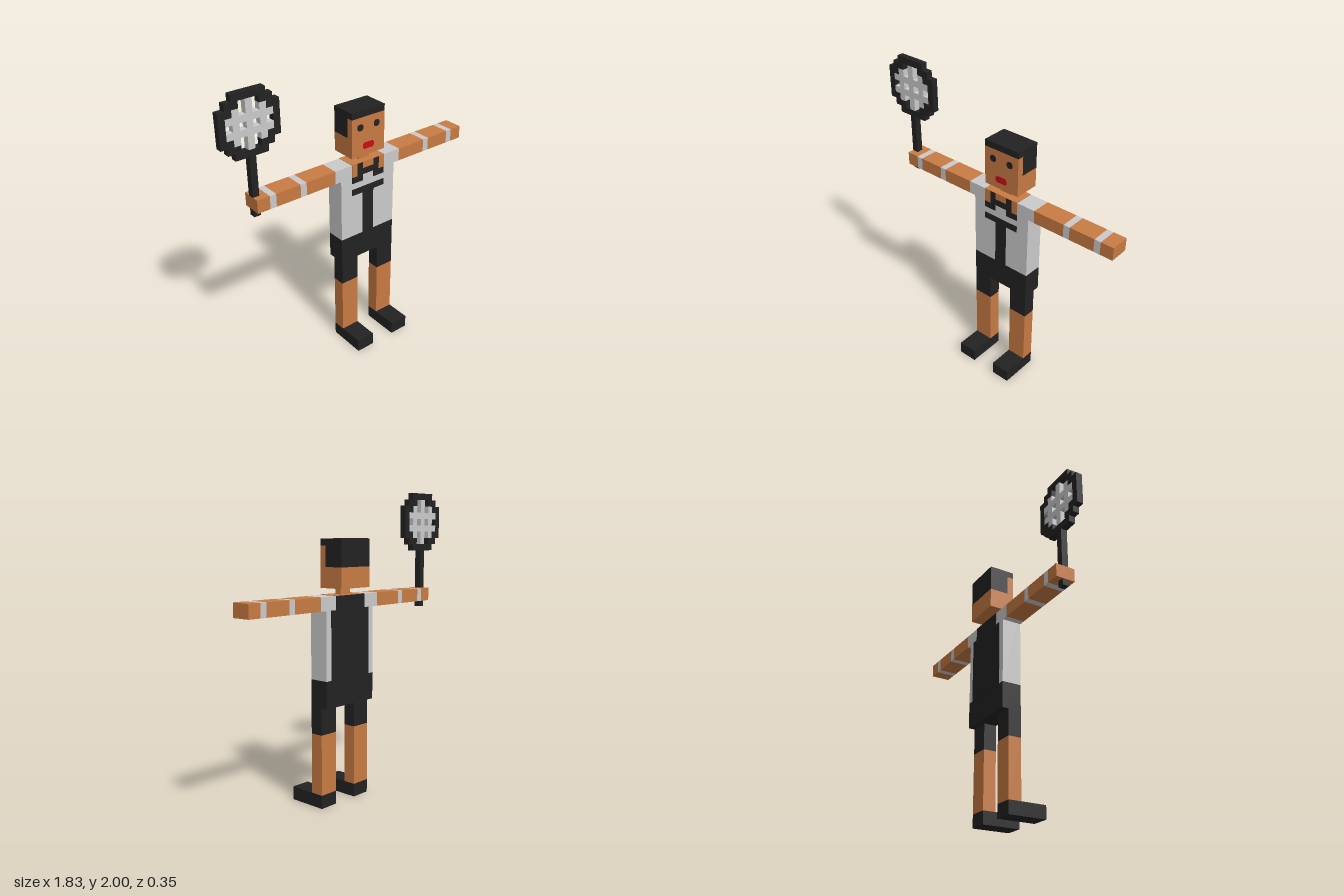
import * as THREE from 'three';
import { mergeGeometries } from 'three/addons/utils/BufferGeometryUtils.js';

const U = 2 / 46; // one block

const flat = (name, color) => {
  const m = new THREE.MeshStandardMaterial({ color });
  m.name = name;
  return m;
};

// Box between two corners, measured in blocks
function block(x0, x1, y0, y1, z0, z1) {
  const g = new THREE.BoxGeometry((x1 - x0) * U, (y1 - y0) * U, (z1 - z0) * U);
  g.translate((x0 + x1) / 2 * U, (y0 + y1) / 2 * U, (z0 + z1) / 2 * U);
  return g;
}

// Thin plate on a front face, with cut corners
function badge(x0, x1, y0, y1, c) {
  const s = new THREE.Shape([
    [x0 + c, y0], [x1 - c, y0], [x1, y0 + c], [x1, y1 - c],
    [x1 - c, y1], [x0 + c, y1], [x0, y1 - c], [x0, y0 + c],
  ].map(([x, y]) => new THREE.Vector2(x * U, y * U)));
  return new THREE.ExtrudeGeometry(s, { depth: 0.003, bevelEnabled: false });
}

export function createModel() {
  const skin = flat('skin', 0xc87b43);
  const light = flat('light cloth', 0xcbcbcb);
  const dark = flat('dark cloth', 0x222222);
  const red = flat('lip red', 0xc80f14);

  const root = new THREE.Group();
  root.name = 'racketPlayer';
  const group = (name) => {
    const g = new THREE.Group();
    g.name = name;
    root.add(g);
    return g;
  };
  const add = (parent, name, material, ...geos) => {
    const mesh = new THREE.Mesh(geos.length > 1 ? mergeGeometries(geos) : geos[0], material);
    mesh.name = name;
    parent.add(mesh);
  };

  // Legs and shoes
  for (const [side, x] of [['right', -3], ['left', 4]]) {
    const leg = group(side + 'Leg');
    add(leg, 'shoe', dark, block(x, x + 3, 0, 2, -2, 4));
    add(leg, 'shin', skin, block(x, x + 3, 2, 11, -2, 0));
    add(leg, 'shortsLeg', dark, block(x, x + 3, 11, 15, -2, 0));
  }

  // Torso with painted shirt front and dark back
  const t = 0.06; // plate thickness in blocks
  const torso = group('torso');
  add(torso, 'shorts', dark, block(-3, 7, 15, 19, -3, 0));
  add(torso, 'shirt', light, block(-3, 7, 19, 31, -3, 0));
  add(torso, 'backPanel', dark,
    block(-2, 6, 19, 29, -3 - t, -3), block(-1, 5, 29, 31, -3 - t, -3));
  add(torso, 'necklineSkin', skin,
    block(-1, 0, 29, 31, 0, t), block(4, 5, 29, 31, 0, t),
    block(1, 3, 30, 31, 0, t), block(-1, 5, 31, 31 + t, -3, t));
  add(torso, 'collarTrim', dark,
    block(0, 1, 30, 31, 0, t), block(3, 4, 30, 31, 0, t),
    block(0, 4, 29, 30, 0, t),
    block(-1, 1, 28, 29, 0, t), block(3, 5, 28, 29, 0, t));
  add(torso, 'chestTrim', dark,
    block(-1, 5, 26, 27, 0, t), block(1, 3, 19, 26, 0, t));

  // Arms, as bands along x from shoulder to hand
  const arms = {
    leftArm: [[7, 8, light], [8, 13, skin], [13, 14, light], [14, 18, skin], [18, 19, light], [19, 21, skin]],
    rightArm: [[-4, -3, light], [-9, -4, skin], [-10, -9, light], [-14, -10, skin], [-15, -14, light], [-17, -15, skin]],
  };
  for (const [name, bands] of Object.entries(arms)) {
    const arm = group(name);
    for (const [x0, x1, m] of bands) {
      add(arm, m === skin ? 'armSkin' : 'armBand', m, block(x0, x1, 29, 31, -3, 0));
    }
  }

  // Head
  const head = group('head');
  add(head, 'neck', skin, block(1, 3, 31, 32, -2, -1));
  add(head, 'face', skin, block(-1, 5, 32, 35, -4, 0), block(-1, 5, 35, 38, -1, 0));
  add(head, 'hair', dark, block(-1, 5, 35, 39, -4, -1), block(-1, 5, 38, 39, -1, 0));
  add(head, 'eyes', dark, badge(0, 1, 36, 37, 0.25), badge(3, 4, 36, 37, 0.25));
  add(head, 'mouth', red, badge(1, 3, 33, 34, 0.25));

  // Racket: # frame, o strings, drawn from the top row down
  const rows = [
    '..#####..',
    '.##.o.##.',
    '##o.o.o##',
    '#ooooooo#',
    '#.o.o.o.#',
    '#ooooooo#',
    '##o.o.o##',
    '.##.o.##.',
    '..#####..',
  ];
  const racket = group('racket');
  const cells = (pattern) => rows.flatMap((row, r) =>
    [...row.matchAll(pattern)].map((m) => {
      const x = m.index - 21;
      return block(x, x + m[0].length, 45 - r, 46 - r, -2, -1);
    }));
  add(racket, 'racketFrame', dark, ...cells(/#+/g));
  add(racket, 'racketStrings', light, ...cells(/o+/g));
  add(racket, 'racketHandle', dark, block(-17, -16, 31, 37, -2, -1), block(-17, -16, 28, 29, -2, -1));

  return root;
}
